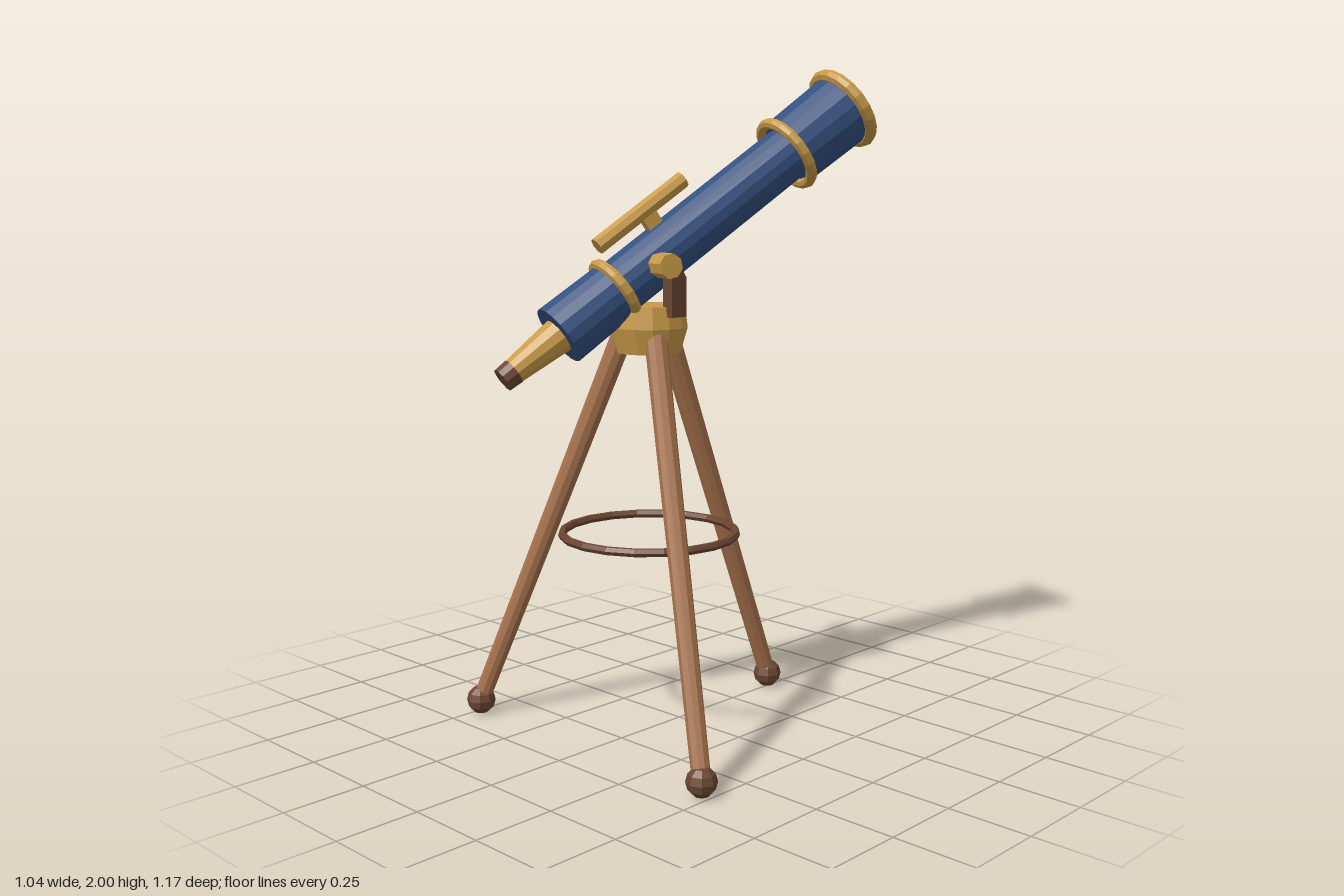
import * as THREE from 'three';

const mat = (name, color) => {
  const m = new THREE.MeshStandardMaterial({ color, flatShading: true });
  m.name = name;
  return m;
};

export function createModel() {
  const navy = mat('navy enamel', 0x34507f);
  const brass = mat('brass', 0xc99b48);
  const wood = mat('light wood', 0xa8734e);
  const darkWood = mat('dark wood', 0x6b4632);
  const glass = mat('lens glass', 0xbfe0ee);

  const model = new THREE.Group();
  model.name = 'telescopeOnTripod';

  const add = (parent, name, geometry, material, x = 0, y = 0, z = 0) => {
    const mesh = new THREE.Mesh(geometry, material);
    mesh.name = name;
    mesh.position.set(x, y, z);
    parent.add(mesh);
    return mesh;
  };

  // Tripod, centred on its own vertical axis
  const tripod = new THREE.Group();
  tripod.name = 'tripod';
  tripod.position.z = 0.13;
  model.add(tripod);

  const up = new THREE.Vector3(0, 1, 0);
  for (let i = 0; i < 3; i++) {
    const a = Math.PI + (i * Math.PI * 2) / 3;
    const at = (r, y) => new THREE.Vector3(Math.sin(a) * r, y, Math.cos(a) * r);
    const foot = at(0.55, 0.046), top = at(0.08, 1.21);
    const dir = top.clone().sub(foot);
    const mid = foot.clone().add(top).multiplyScalar(0.5);
    const leg = add(tripod, 'leg', new THREE.CylinderGeometry(0.034, 0.027, dir.length(), 10), wood, ...mid);
    leg.quaternion.setFromUnitVectors(up, dir.normalize());
    add(tripod, 'foot', new THREE.SphereGeometry(0.045, 8, 6), darkWood, ...foot);
  }

  const spreader = add(tripod, 'spreaderRing', new THREE.TorusGeometry(0.262, 0.013, 6, 20), darkWood, 0, 0.615, 0);
  spreader.rotation.x = Math.PI / 2;

  // Hub: tapered underside with a shallow shoulder on top
  const hubProfile = [[0, 1.16], [0.095, 1.16], [0.116, 1.235], [0.108, 1.3], [0, 1.3]];
  add(tripod, 'hub', new THREE.LatheGeometry(hubProfile.map(p => new THREE.Vector2(...p)), 14), brass);

  // Fork arms with chamfered tops
  const armShape = new THREE.Shape();
  [[-0.03, 0], [0.03, 0], [0.03, 0.115], [0.015, 0.135], [-0.015, 0.135], [-0.03, 0.115]]
    .forEach(([x, y], i) => (i ? armShape.lineTo(x, y) : armShape.moveTo(x, y)));
  const armGeometry = new THREE.ExtrudeGeometry(armShape, { depth: 0.036, bevelEnabled: false });
  armGeometry.translate(0, 0, -0.018).rotateY(Math.PI / 2);
  for (const side of [-1, 1]) add(tripod, 'forkArm', armGeometry, darkWood, side * 0.108, 1.27, 0);

  // Telescope: local +y runs along the barrel, local +z is its upper side
  const scope = new THREE.Group();
  scope.name = 'telescope';
  scope.position.set(0, 1.42, 0.13);
  scope.rotation.set(-THREE.MathUtils.degToRad(55), -THREE.MathUtils.degToRad(20), 0, 'YXZ');
  model.add(scope);

  // Round section between two stations along the barrel
  const section = (name, material, y0, r0, y1, r1, sides = 18) =>
    add(scope, name, new THREE.CylinderGeometry(r1, r0, y1 - y0, sides), material, 0, (y0 + y1) / 2, 0);
  section('barrel', navy, -0.2, 0.083, 0.6, 0.083);
  section('tailTube', navy, -0.347, 0.094, -0.13, 0.09);
  section('dewShield', navy, 0.565, 0.108, 0.806, 0.114);
  section('lens', glass, 0.804, 0.1, 0.81, 0.1);
  section('eyepiece', brass, -0.52, 0.038, -0.34, 0.055, 12);
  section('eyecup', darkWood, -0.556, 0.037, -0.515, 0.04, 12);

  for (const [name, y, radius, tube] of [
    ['frontRing', 0.807, 0.118, 0.02],
    ['shieldRing', 0.565, 0.108, 0.017],
    ['rearRing', -0.13, 0.092, 0.017],
  ]) {
    add(scope, name, new THREE.TorusGeometry(radius, tube, 8, 20), brass, 0, y, 0).rotation.x = Math.PI / 2;
  }

  // Pivot knobs: one axle through the barrel
  const axle = add(scope, 'pivotAxle', new THREE.CylinderGeometry(0.037, 0.037, 0.312, 8), brass);
  axle.rotation.z = Math.PI / 2;

  // Finder scope on its post
  add(scope, 'finderScope', new THREE.CylinderGeometry(0.026, 0.026, 0.335, 8), brass, 0, 0.065, 0.137);
  add(scope, 'finderPost', new THREE.BoxGeometry(0.03, 0.05, 0.06), brass, 0, 0.08, 0.1);

  return model;
}
